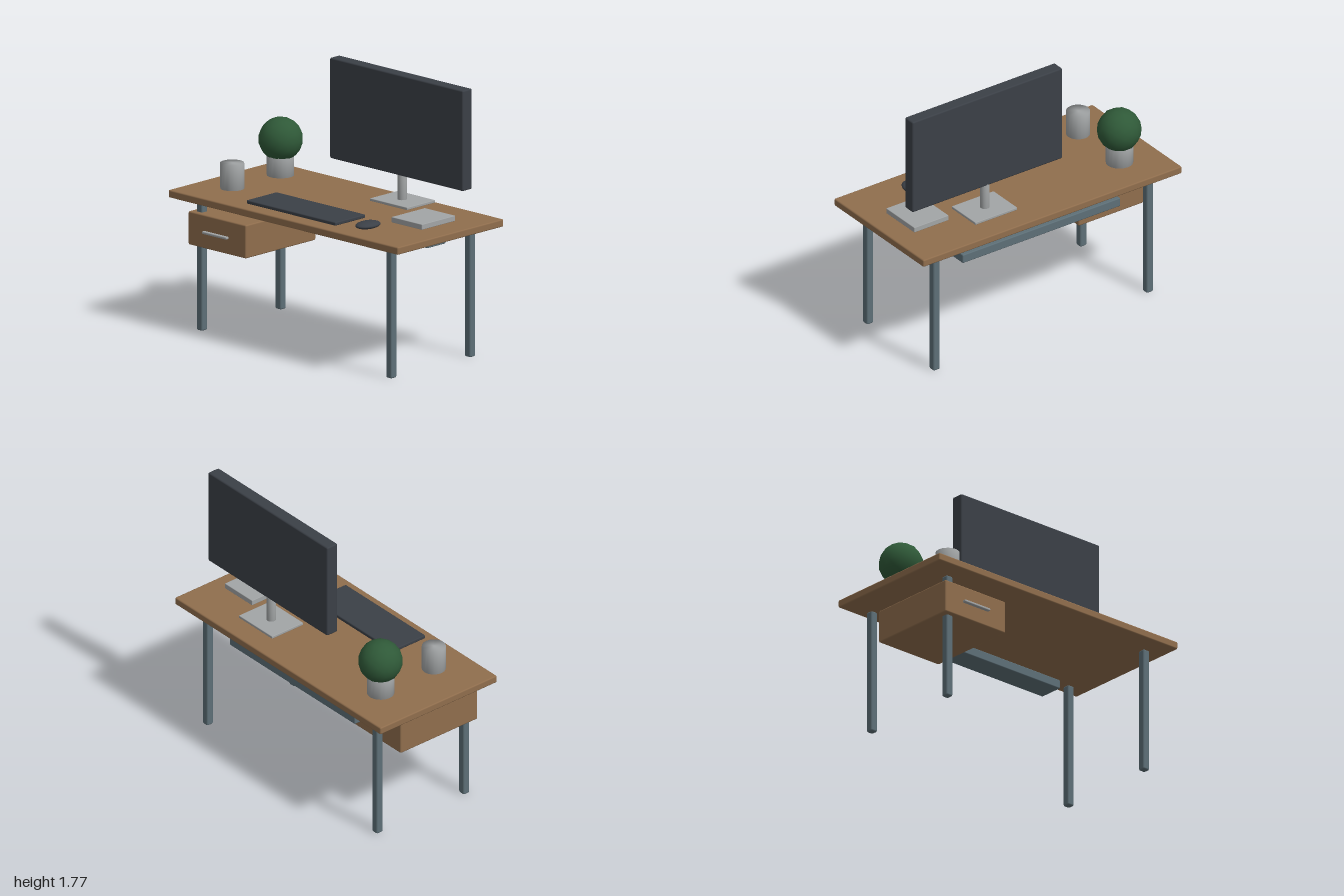
import * as THREE from 'three';
import { RoundedBoxGeometry } from 'three/addons/geometries/RoundedBoxGeometry.js';
import { mergeVertices } from 'three/addons/utils/BufferGeometryUtils.js';

function material(name, color) {
  const m = new THREE.MeshStandardMaterial({ color });
  m.name = name;
  return m;
}

export function createModel() {
  const desk = new THREE.Group();
  desk.name = 'desk';
  const wood = material('wood', 0x906e4d);
  const steel = material('steel', 0x5d6f77);
  const dark = material('dark plastic', 0x3b4047);
  const grey = material('light grey', 0xa2a5a6);
  const green = material('foliage green', 0x2f5938);

  function add(name, geometry, mat, x = 0, y = 0, z = 0) {
    const mesh = new THREE.Mesh(geometry, mat);
    mesh.name = name;
    mesh.position.set(x, y, z);
    desk.add(mesh);
    return mesh;
  }

  // Bevelled box given by its extents on each axis
  function box(name, mat, [x0, x1], [y0, y1], [z0, z1], bevel) {
    const g = new RoundedBoxGeometry(x1 - x0, y1 - y0, z1 - z0, 1, bevel);
    return add(name, g, mat, (x0 + x1) / 2, (y0 + y1) / 2, (z0 + z1) / 2);
  }

  // Cylinder whose normals blend softly over the rim
  function softCylinder(name, mat, radius, y0, y1, x, z) {
    let g = new THREE.CylinderGeometry(radius, radius, y1 - y0, 20);
    g.deleteAttribute('normal');
    g.deleteAttribute('uv');
    g = mergeVertices(g);
    g.computeVertexNormals();
    return add(name, g, mat, x, (y0 + y1) / 2, z);
  }

  // Table: top, legs and rear beam
  box('tableTop', wood, [-1, 1], [0.85, 0.9], [-0.478, 0.478], 0.009);
  for (const x of [-0.825, 0.825]) {
    for (const z of [-0.355, 0.355]) {
      box('leg', steel, [x - 0.025, x + 0.025], [0, 0.826], [z - 0.025, z + 0.025], 0.01);
    }
  }
  box('rearBeam', steel, [-0.61, 0.61], [0.69, 0.75], [-0.36, -0.193], 0.007);

  // Drawer unit and its pull
  box('drawer', wood, [-0.89, -0.388], [0.553, 0.77], [-0.22, 0.412], 0.009);
  box('drawerHandle', grey, [-0.748, -0.535], [0.653, 0.67], [0.411, 0.438], 0.006);

  // Monitor
  box('monitor', dark, [-0.23, 0.93], [1.122, 1.775], [-0.266, -0.18], 0.01);
  softCylinder('monitorStand', grey, 0.03, 0.95, 1.13, 0.35, -0.235);
  box('monitorBase', grey, [0.19, 0.515], [0.937, 0.955], [-0.363, -0.108], 0.004);

  // Keyboard, mouse and notebook
  box('keyboard', dark, [-0.39, 0.386], [0.91, 0.934], [0.133, 0.405], 0.007);
  const mouse = add('mouse', new THREE.SphereGeometry(1, 24, 14), dark, 0.537, 0.922, 0.268);
  mouse.scale.set(0.064, 0.023, 0.093);
  box('notebook', grey, [0.594, 0.86], [0.917, 0.953], [-0.187, 0.115], 0.004);

  // Mug and potted plant
  softCylinder('mug', grey, 0.076, 0.917, 1.082, -0.697, 0.214);
  softCylinder('plantPot', grey, 0.087, 0.917, 1.07, -0.7, -0.224);
  add('foliage', new THREE.IcosahedronGeometry(0.141, 2), green, -0.698, 1.152, -0.224);

  return desk;
}
